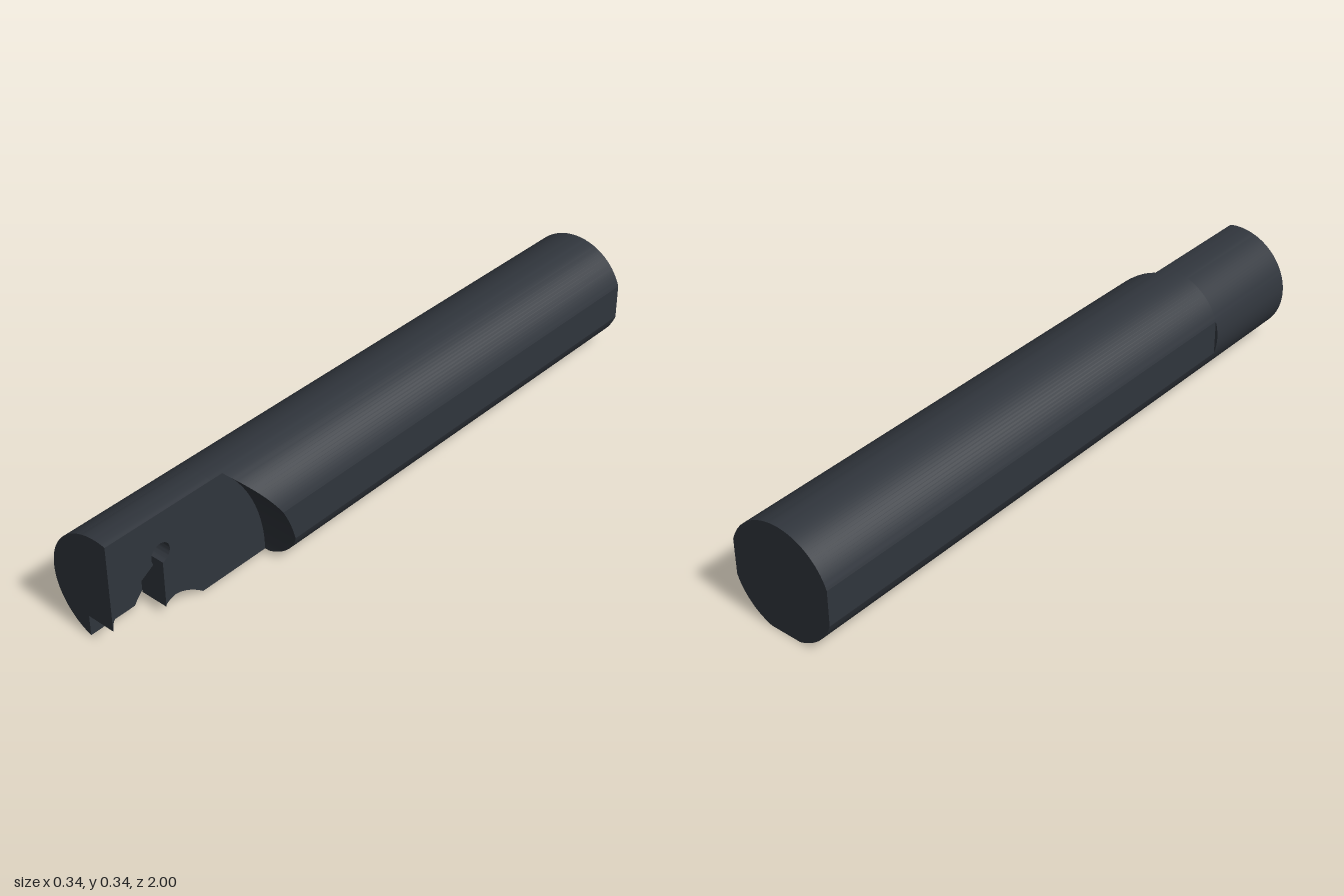
import * as THREE from 'three';
import { toCreasedNormals } from 'three/addons/utils/BufferGeometryUtils.js';

const CX = 0.0045, CY = 0.165, R = 0.1725;   // bar section
const TOP = CY + R, FLAT = 0.1635;           // flats on both sides
const FACE = 0.04, WALL = -0.05;             // side face of the head, inner wall of the insert seat
const HEAD = 0.64;                           // z where the head begins
const HZ = 0.825, HY = 0.208, HR = 0.032;    // relief hole
const SEAT = 0.82, ARCH = 0.05, SEAT_TOP = 0.066;

const root = v => Math.sqrt(Math.max(0, v));
const half = y => root(R * R - (y - CY) ** 2);
const hole = y => root(HR * HR - (y - HY) ** 2);

// outlines as functions of height
const leftRound = y => CX - half(y);
const leftFlat = y => CX - Math.min(half(y), FLAT);
const rightFlat = y => Math.max(FACE, CX + Math.min(half(y), FLAT));
const headFace = y => Math.max(WALL, Math.min(FACE, CX + half(y)));
const runout = y => 0.914 - root(0.459 ** 2 - y * y);
const archBack = y => 0.785 - 0.095 * root(1 - y / ARCH) ** 1.2;
const archFront = y => 0.785 + 0.065 * root(1 - y / ARCH);
const seatBack = y => (y > HY - HR ? Math.min(SEAT, HZ - hole(y)) : SEAT);
const jaw = y => {
  const z = y < 0.095 ? 1 - (y - SEAT_TOP) * 0.17
    : y < 0.115 ? 0.995 - (y - 0.095) : 0.975 - (y - 0.115) * 1.67;
  return Math.max(z, y > HY - HR ? HZ + hole(y) : 0);
};

// shared height levels, denser at the arch and the hole
const levels = [CY - FLAT, 0.11, 0.22, 0.095, 0.115, SEAT_TOP, 0.188];
for (let i = 0; i <= 56; i++) levels.push(CY - R * Math.cos(Math.PI * i / 56));
for (let i = 0; i <= 16; i++) {
  levels.push(HY - HR * Math.cos(Math.PI * i / 16));
  levels.push(ARCH * Math.sin(Math.PI * i / 32));
}
levels.sort((a, b) => a - b);

const asFn = v => (typeof v === 'function' ? v : () => v);

// solid made of stacked rectangles, whose four sides vary with height
function stack(ya, yb, x0, x1, z0, z1) {
  [x0, x1, z0, z1] = [x0, x1, z0, z1].map(asFn);
  const ys = [ya, ...levels.filter(y => y > ya + 2e-4 && y < yb - 2e-4), yb];
  const pos = [], idx = [];
  for (const y of ys) {
    const a = x0(y), b = x1(y), c = z0(y), d = z1(y);
    pos.push(a, y, c, b, y, c, b, y, d, a, y, d);
  }
  for (let i = 0; i < ys.length - 1; i++) {
    for (let k = 0; k < 4; k++) {
      const a = i * 4 + k, b = i * 4 + (k + 1) % 4;
      idx.push(a, a + 4, b, b, a + 4, b + 4);
    }
  }
  const t = (ys.length - 1) * 4;
  idx.push(0, 1, 2, 0, 2, 3, t, t + 2, t + 1, t, t + 3, t + 2);
  const g = new THREE.BufferGeometry();
  g.setAttribute('position', new THREE.Float32BufferAttribute(pos, 3));
  g.setIndex(idx);
  return toCreasedNormals(g, 0.26);
}

export function createModel() {
  const model = new THREE.Group();
  model.name = 'boringBar';
  const steel = new THREE.MeshStandardMaterial({ color: 0x30353c });
  const addPart = (name, ...solids) => {
    const group = new THREE.Group();
    group.name = name;
    solids.forEach((s, i) => {
      const mesh = new THREE.Mesh(stack(...s), steel);
      mesh.name = name + (i + 1);
      group.add(mesh);
    });
    model.add(group);
  };

  const faceTop = CY + root(R * R - (FACE - CX) ** 2);
  const wallHalf = root(R * R - (WALL - CX) ** 2);
  const wallLow = CY - wallHalf, wallTop = CY + wallHalf;
  const seatLow = 0.03, holeTop = HY + HR;

  // shank: flats on both sides and below, curved run-out beside the head
  addPart('shank',
    [0, TOP, leftFlat, y => Math.min(FACE, CX + half(y)), -1, HEAD],
    [0, faceTop, FACE, rightFlat, -1, runout]);

  // head web: rounded side, crossed by the arch underneath
  addPart('headWeb',
    [wallLow, ARCH, leftRound, WALL, HEAD, archBack],
    [wallLow, ARCH, leftRound, WALL, archFront, 1],
    [ARCH, wallTop, leftRound, WALL, HEAD, 1]);

  // lower jaw: behind the insert seat, up to the relief hole
  addPart('lowerJaw',
    [0, ARCH, WALL, FACE, HEAD, archBack],
    [seatLow, ARCH, WALL, FACE, y => Math.min(SEAT, archFront(y)), SEAT],
    [ARCH, holeTop, WALL, FACE, HEAD, seatBack]);

  // upper jaw: sloped underside above the seat, and the solid top
  addPart('upperJaw',
    [SEAT_TOP, holeTop, WALL, FACE, jaw, 1],
    [holeTop, TOP, y => Math.max(WALL, leftRound(y)), headFace, HEAD, 1]);

  return model;
}
